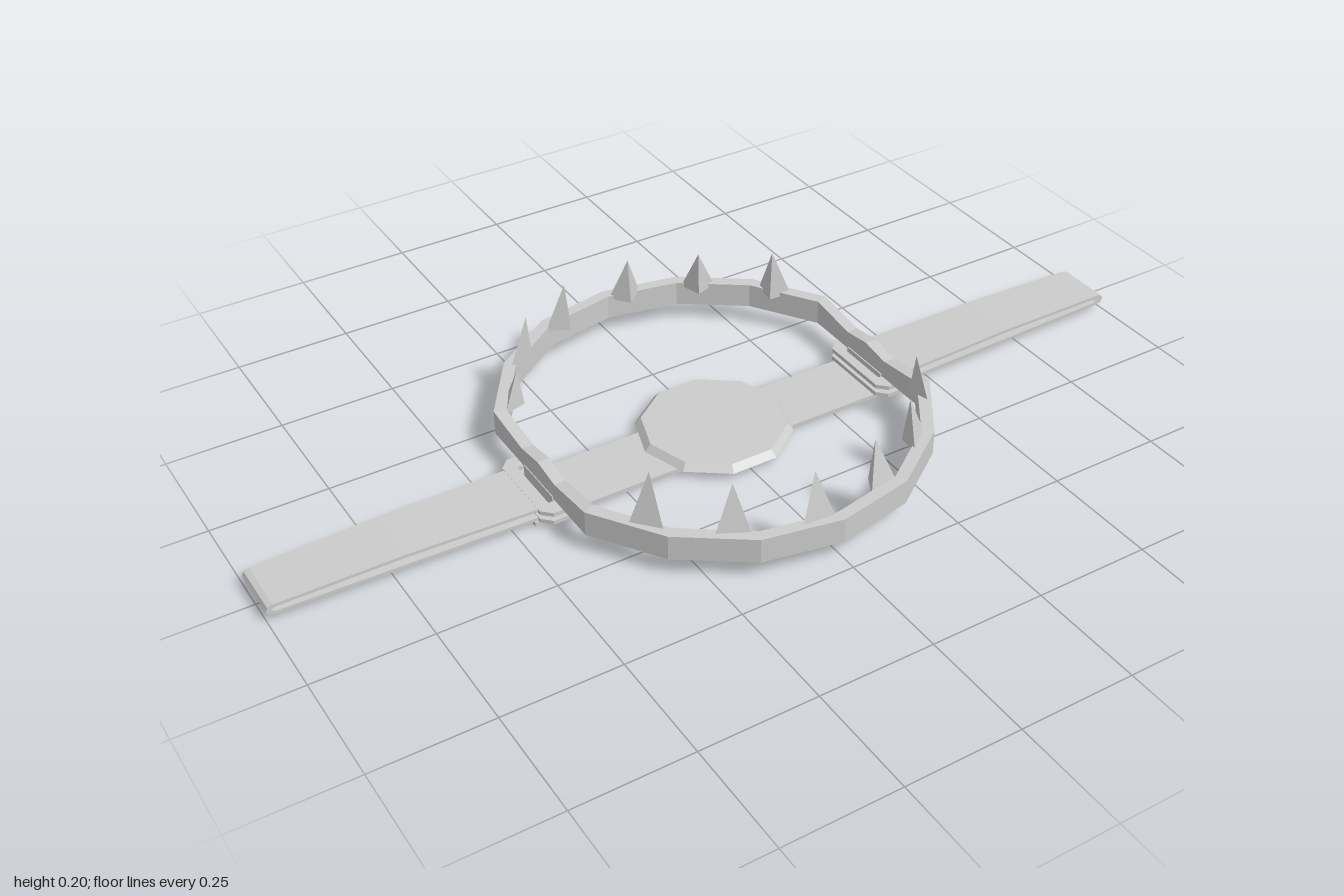
import * as THREE from 'three';
import { ConvexGeometry } from 'three/addons/geometries/ConvexGeometry.js';

const steel = new THREE.MeshStandardMaterial({ color: 0xcccccc, flatShading: true });

function add(parent, name, geometry, x = 0, y = 0, z = 0) {
  const mesh = new THREE.Mesh(geometry, steel);
  mesh.name = name;
  mesh.position.set(x, y, z);
  parent.add(mesh);
  return mesh;
}

// Half ring of rectangular section, dipping towards its two hinge ends
function jawGeometry() {
  const half = [ // outer x, outer z, top y
    [0.407, 0, 0.09], [0.407, 0.07, 0.08], [0.407, 0.19, 0.095],
    [0.31, 0.335, 0.095], [0.168, 0.435, 0.095],
  ];
  const path = [...half, [0, 0.468, 0.095], ...half.map(([x, z, t]) => [-x, z, t]).reverse()];
  const sections = path.map(([x, z, top]) => {
    const ix = x * 0.938, iz = z * 0.945, low = 0.04;
    return [[x, low, z], [x, top, z], [ix, top, iz], [ix, low, iz]];
  });
  const pos = [];
  for (let i = 0; i < sections.length - 1; i++) {
    for (let k = 0; k < 4; k++) {
      const n = (k + 1) % 4;
      const a = sections[i][k], b = sections[i][n];
      const c = sections[i + 1][n], d = sections[i + 1][k];
      pos.push(...a, ...b, ...c, ...a, ...c, ...d);
    }
  }
  const geo = new THREE.BufferGeometry();
  geo.setAttribute('position', new THREE.Float32BufferAttribute(pos, 3));
  geo.computeVertexNormals();
  return geo;
}

// Three-sided spike with its flat back against the jaw
function toothGeometry(x, z, height) {
  const out = new THREE.Vector3(x, 0, z).normalize();
  const side = new THREE.Vector3(-out.z, 0, out.x);
  const at = (o, s, y) => new THREE.Vector3(x, y, z).addScaledVector(out, o).addScaledVector(side, s);
  return new ConvexGeometry([
    at(0.025, 0.037, 0.085), at(0.025, -0.037, 0.085), at(-0.012, 0, 0.085), at(0, 0, height),
  ]);
}

// Folded leaf spring: a thin hairpin, narrowing towards its outer end
function springGeometry() {
  const s = new THREE.Shape();
  s.moveTo(0.42, 0.011);
  s.lineTo(0.985, 0.014);
  s.lineTo(0.997, 0.019);
  s.lineTo(1, 0.026);
  s.lineTo(0.996, 0.034);
  s.lineTo(0.985, 0.038);
  s.lineTo(0.72, 0.043);
  s.lineTo(0.42, 0.038);
  s.lineTo(0.42, 0.031);
  s.lineTo(0.72, 0.036);
  s.lineTo(0.982, 0.031);
  s.lineTo(0.99, 0.026);
  s.lineTo(0.982, 0.021);
  s.lineTo(0.42, 0.018);
  s.closePath();
  const geo = new THREE.ExtrudeGeometry(s, { depth: 2, bevelEnabled: false });
  geo.translate(0, 0, -1);
  const p = geo.attributes.position;
  for (let i = 0; i < p.count; i++) {
    const t = (p.getX(i) - 0.42) / 0.58;
    p.setZ(i, p.getZ(i) * (0.073 - 0.013 * t));
  }
  geo.computeVertexNormals();
  return geo;
}

// Flat eye at the end of each spring leaf
function eyeGeometry() {
  const outline = (target, w, d, c) => {
    const pts = [[w, d - c], [w - c, d], [c - w, d], [-w, d - c], [-w, c - d], [c - w, -d], [w - c, -d], [w, c - d]];
    pts.forEach(([x, y], i) => (i ? target.lineTo(x, y) : target.moveTo(x, y)));
    target.closePath();
    return target;
  };
  const shape = outline(new THREE.Shape(), 0.047, 0.1, 0.02);
  shape.holes.push(outline(new THREE.Path(), 0.026, 0.066, 0.008));
  const geo = new THREE.ExtrudeGeometry(shape, { depth: 0.009, bevelEnabled: false });
  return geo.rotateX(-Math.PI / 2);
}

export function createModel() {
  const model = new THREE.Group();
  model.name = 'jawTrap';

  // Base strip and trigger pan
  add(model, 'baseStrip', new THREE.BoxGeometry(0.91, 0.01, 0.148), 0, 0.005, 0);
  add(model, 'panPost', new THREE.CylinderGeometry(0.035, 0.035, 0.012, 10), 0, 0.014, 0);
  const pan = new THREE.CylinderGeometry(0.152, 0.165, 0.015, 10);
  pan.rotateY(Math.PI / 2);
  add(model, 'triggerPan', pan, 0, 0.0255, 0);

  // Springs with their eyes and hinge posts, one per side
  for (const side of [1, -1]) {
    const arm = new THREE.Group();
    arm.name = side > 0 ? 'leftSpring' : 'rightSpring';
    arm.rotation.y = side > 0 ? 0 : Math.PI;
    add(arm, 'leafSpring', springGeometry());
    add(arm, 'lowerEye', eyeGeometry(), 0.4, 0.011, 0);
    add(arm, 'upperEye', eyeGeometry(), 0.4, 0.03, 0);
    add(arm, 'hingePost', new THREE.BoxGeometry(0.03, 0.04, 0.12), 0.394, 0.025, 0);
    model.add(arm);
  }

  // Jaws
  add(model, 'frontJaw', jawGeometry());
  add(model, 'backJaw', jawGeometry()).rotation.y = Math.PI;

  // Teeth: tip x, tip z, tip height
  const teeth = [
    [-0.31, 0.27, 0.205], [-0.19, 0.37, 0.195], [-0.04, 0.42, 0.195],
    [0.12, 0.39, 0.187], [0.255, 0.32, 0.185], [0.36, 0.2, 0.18],
    [-0.345, -0.2, 0.167], [-0.26, -0.32, 0.2], [-0.13, -0.395, 0.195],
    [0.04, -0.42, 0.187], [0.19, -0.37, 0.18], [0.315, -0.265, 0.197],
  ];
  for (const [x, z, h] of teeth) add(model, z > 0 ? 'frontTooth' : 'backTooth', toothGeometry(x, z, h));

  return model;
}
